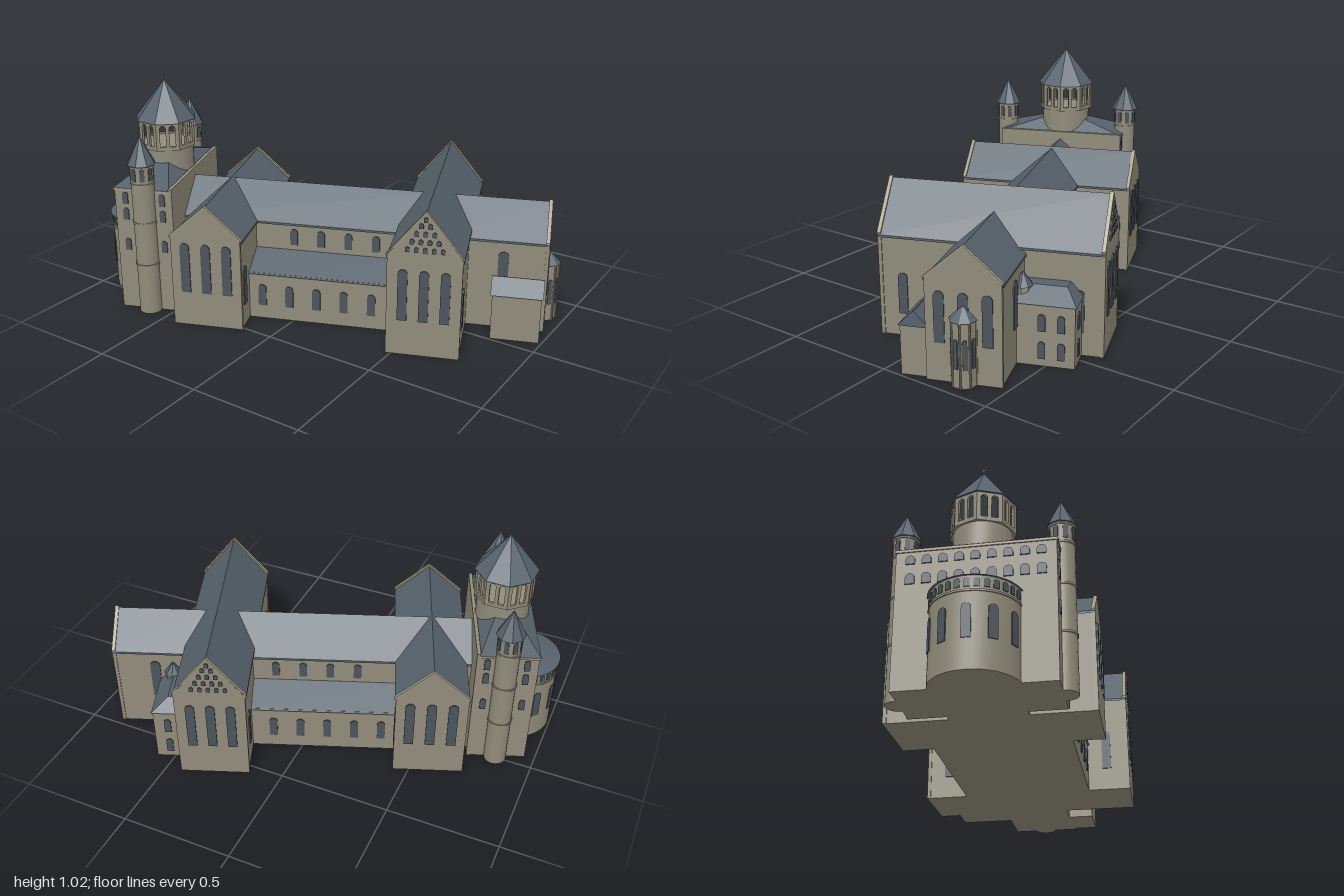
import * as THREE from 'three';
import { toCreasedNormals } from 'three/addons/utils/BufferGeometryUtils.js';

const mat = (name, color) => {
  const m = new THREE.MeshStandardMaterial({ color });
  m.name = name;
  return m;
};

export function createModel() {
  const stone = mat('stone', 0x918c7a);
  const slate = mat('slate', 0x56626c);
  const glass = mat('darkGlass', 0x4b545d);
  const trim = mat('paleCoping', 0xa0977f);

  // The church runs along local x (east = +x); the whole plan is turned on the ground.
  const root = new THREE.Group();
  root.name = 'church';
  root.rotation.y = THREE.MathUtils.degToRad(21);
  const church = new THREE.Group();
  church.position.z = 0.018;
  root.add(church);

  const add = (name, geo, material, x = 0, y = 0, z = 0, ry = 0, parent = church) => {
    const m = new THREE.Mesh(geo, material);
    m.name = name;
    m.position.set(x, y, z);
    m.rotation.y = ry;
    parent.add(m);
    return m;
  };

  // Box whose top rectangle may differ from its bottom: [x0, x1, z0, z1]
  const block = (name, material, y0, y1, bottom, top = bottom) => {
    const g = new THREE.BoxGeometry(1, 1, 1);
    const p = g.attributes.position;
    for (let i = 0; i < p.count; i++) {
      const up = p.getY(i) > 0, r = up ? top : bottom;
      p.setXYZ(i, p.getX(i) < 0 ? r[0] : r[1], up ? y1 : y0, p.getZ(i) < 0 ? r[2] : r[3]);
    }
    const flat = g.toNonIndexed();
    flat.computeVertexNormals();
    return add(name, flat, material);
  };

  const round = (name, material, rTop, rBottom, y0, y1, x, z, sides = 32) =>
    add(name, toCreasedNormals(new THREE.CylinderGeometry(rTop, rBottom, y1 - y0, sides), 0.5),
      material, x, (y0 + y1) / 2, z);

  const polygon = pts => new THREE.Shape(pts.map(([x, y]) => new THREE.Vector2(x, y)));
  const extrude = (shape, depth) => new THREE.ExtrudeGeometry(shape, { depth, bevelEnabled: false, curveSegments: 8 });

  // Round-headed opening outline
  const arch = (w, h, x = 0, y = 0, Type = THREE.Shape) => {
    const s = new Type(), r = w / 2;
    s.moveTo(x - r, y);
    s.lineTo(x + r, y);
    s.lineTo(x + r, y + h - r);
    s.absarc(x, y + h - r, r, 0, Math.PI, false);
    s.lineTo(x - r, y);
    return s;
  };
  const cache = {};
  const win = (x, y, z, w, h, ry = 0) =>
    add('window', cache[`${w},${h}`] ??= extrude(arch(w, h), 0.005), glass, x, y, z, ry);
  const SOUTH = 0, EAST = Math.PI / 2, NORTH = Math.PI, WEST = -Math.PI / 2;

  // Gabled wing running along z from z0 to z1, optionally turned to run along x
  const wing = (name, half, eave, ridge, z0, z1, x, gables, ry = 0) => {
    const g = new THREE.Group();
    g.name = name;
    g.position.x = x;
    g.rotation.y = ry;
    church.add(g);
    const t = 0.01, o = 0.008, drop = o * (ridge - eave) / half;
    const pent = (w, e, r) => polygon([[-w, 0], [w, 0], [w, e], [0, r], [-w, e]]);
    add('walls', extrude(pent(half, eave - t, ridge - t), z1 - z0), stone, 0, 0, z0, 0, g);
    add('gableRoof', extrude(polygon([
      [-half - o, eave - drop - t], [0, ridge - t], [half + o, eave - drop - t],
      [half + o, eave - drop], [0, ridge], [-half - o, eave - drop]]), z1 - z0), slate, 0, 0, z0, 0, g);
    // Raised gable walls with a pale coping strip
    gables.forEach((on, i) => {
      if (!on) return;
      const z = i ? z1 - 0.012 : z0 - 0.004;
      add('gableWall', extrude(pent(half + 0.004, eave, ridge + 0.002), 0.016), stone, 0, 0, z, 0, g);
      const w = half + 0.01;
      add('coping', extrude(polygon([[-w, eave - 0.006], [0, ridge], [w, eave - 0.006],
        [w, eave + 0.001], [0, ridge + 0.008], [-w, eave + 0.001]]), 0.016), trim, 0, 0, z, 0, g);
    });
  };

  // Nave, choir and the two transepts
  wing('nave', 0.155, 0.42, 0.55, -0.66, 0.48, 0, [false, false], EAST);
  wing('choir', 0.147, 0.42, 0.55, 0.48, 0.965, 0, [false, true], EAST);
  wing('westTransept', 0.152, 0.42, 0.557, -0.41, 0.41, -0.468, [true, true]);
  wing('eastTransept', 0.15, 0.45, 0.64, -0.468, 0.468, 0.48, [true, true]);

  for (const s of [1, -1]) {
    const face = s > 0 ? SOUTH : NORTH;
    const span = (a, b) => (s > 0 ? [a, b] : [-b, -a]);

    // Side aisles with lean-to roofs
    block('aisle', stone, 0, 0.22, [-0.4, 0.4, ...span(0.1, 0.285)]);
    block('aisleRoof', slate, 0.215, 0.285, [-0.4, 0.4, ...span(0.1, 0.293)], [-0.4, 0.4, ...span(0.1, 0.156)]);
    for (let i = 0; i < 5; i++) win(-0.256 + i * 0.122, 0.065, s * 0.285, 0.036, 0.1, face);
    for (let i = 0; i < 4; i++) win(-0.142 + i * 0.123, 0.31, s * 0.155, 0.034, 0.075, face);

    // Tall windows in the transept gables
    for (const d of [-1, 0, 1]) {
      win(-0.468 + d * 0.093, 0.16, s * 0.414, 0.042, 0.23, face);
      win(0.48 + d * 0.088, 0.16, s * 0.472, 0.04, 0.23, face);
    }
    // Small openings stepping up the east transept gable
    [[5, 0.47], [4, 0.505], [3, 0.54], [2, 0.575], [1, 0.602]].forEach(([n, y]) => {
      for (let i = 0; i < n; i++) win(0.48 + (i - (n - 1) / 2) * 0.036, y, s * 0.472, 0.018, 0.022, face);
    });
    // Side windows of the transepts and choir
    win(-0.316, 0.1, s * 0.352, 0.04, 0.18, EAST);
    win(0.63, 0.1, s * 0.37, 0.04, 0.18, EAST);
    win(0.33, 0.1, s * 0.37, 0.04, 0.18, WEST);
    win(0.78, 0.16, s * 0.147, 0.045, 0.2, face);

    // Round stair towers beside the west block
    const tx = -0.777, tz = s * 0.309;
    round('stairTower', stone, 0.05, 0.05, 0, 0.7, tx, tz, 24);
    for (const y of [0.23, 0.43, 0.61]) round('towerBand', stone, 0.054, 0.054, y, y + 0.008, tx, tz, 24);
    round('towerCornice', stone, 0.056, 0.052, 0.692, 0.702, tx, tz, 24);
    round('towerSpire', slate, 0, 0.064, 0.7, 0.825, tx, tz, 8);
    for (let i = 0; i < 8; i++) {
      const a = (i + 0.5) * Math.PI / 4;
      win(tx + 0.047 * Math.sin(a), 0.63, tz + 0.047 * Math.cos(a), 0.02, 0.058, a);
    }
    // Paired windows on the ends of the west block
    for (const x of [-0.865, -0.695]) for (const y of [0.285, 0.43, 0.505]) win(x, y, s * 0.305, 0.026, 0.055, face);
  }

  // West block with a low hipped roof
  block('westBlock', stone, 0, 0.575, [-0.913, -0.66, -0.305, 0.305]);
  block('westCornice', trim, 0.567, 0.578, [-0.918, -0.66, -0.31, 0.31]);
  block('westRoof', slate, 0.578, 0.67, [-0.918, -0.66, -0.31, 0.31], [-0.78, -0.77, -0.005, 0.005]);
  block('westParapet', stone, 0, 0.587, [-0.664, -0.648, -0.309, 0.309]);
  for (let i = 0; i < 9; i++) {
    const z = (i - 4) * 0.062;
    win(-0.913, 0.515, z, 0.036, 0.036, WEST);
    win(-0.913, 0.43, z, 0.036, 0.045, WEST);
  }

  // West apse with dwarf gallery
  const ax = -0.885;
  round('apse', stone, 0.172, 0.172, 0, 0.365, ax, 0, 48);
  round('apseBand', stone, 0.176, 0.176, 0.3, 0.308, ax, 0, 48);
  round('apseRoof', slate, 0, 0.181, 0.363, 0.42, ax, 0, 48);
  const apseWin = (deg, y, w, h) => {
    const a = WEST + THREE.MathUtils.degToRad(deg);
    win(ax + 0.17 * Math.sin(a), y, 0.17 * Math.cos(a), w, h, a);
  };
  for (let i = -6; i <= 6; i++) apseWin(i * 12, 0.318, 0.022, 0.036);
  for (let i = -2; i <= 2; i++) apseWin(i * 32, 0.12, 0.036, 0.135);

  // Crossing tower: round drum, open octagonal belfry, spire and cross
  const cx = -0.775;
  round('drum', stone, 0.117, 0.117, 0.57, 0.7, cx, 0, 40);
  round('belfryFloor', stone, 0.132, 0.132, 0.694, 0.704, cx, 0, 8);
  const wall = polygon([[-0.0505, 0], [0.0505, 0], [0.0505, 0.122], [-0.0505, 0.122]]);
  for (const x of [-0.021, 0.021]) wall.holes.push(arch(0.026, 0.098, x, 0.012, THREE.Path));
  const panel = extrude(wall, 0.012);
  for (let i = 0; i < 8; i++) {
    const a = (i + 0.5) * Math.PI / 4;
    add('belfryWall', panel, stone, cx + 0.11 * Math.sin(a), 0.7, 0.11 * Math.cos(a), a);
  }
  round('belfrySpire', slate, 0, 0.14, 0.82, 0.995, cx, 0, 8);
  block('crossPost', trim, 0.985, 1.018, [cx - 0.0015, cx + 0.0015, -0.0015, 0.0015]);
  block('crossBar', trim, 1.006, 1.009, [cx - 0.0015, cx + 0.0015, -0.007, 0.007]);

  // East end of the choir: three windows and a small polygonal apse with shafts
  for (const d of [-1, 0, 1]) win(0.968, 0.16, d * 0.095, 0.042, 0.21, EAST);
  round('eastApse', stone, 0.05, 0.05, 0, 0.27, 0.967, 0, 8);
  round('eastApseRoof', slate, 0, 0.057, 0.268, 0.325, 0.967, 0, 8);
  for (let i = 0; i < 4; i++) {
    const a = i * Math.PI / 4 + Math.PI / 8;
    win(0.967 + 0.046 * Math.sin(a), 0.08, 0.046 * Math.cos(a), 0.018, 0.12, a);
  }
  for (let i = 0; i < 5; i++) {
    const a = i * Math.PI / 4;
    round('shaft', stone, 0.005, 0.005, 0, 0.27, 0.967 + 0.05 * Math.sin(a), 0.05 * Math.cos(a), 8);
  }

  // South annex with a small gabled roof
  block('southAnnex', stone, 0, 0.21, [0.745, 0.952, 0.14, 0.26]);
  block('southAnnexRoof', slate, 0.207, 0.27, [0.738, 0.959, 0.138, 0.267], [0.738, 0.959, 0.199, 0.203]);

  // North annex with a hipped lean-to roof, and a stair turret in the corner
  block('northAnnex', stone, 0, 0.26, [0.6, 0.757, -0.38, -0.13]);
  block('northAnnexRoof', slate, 0.258, 0.315, [0.6, 0.763, -0.387, -0.13], [0.6, 0.69, -0.335, -0.13]);
  for (const z of [-0.325, -0.247]) for (const y of [0.032, 0.148]) win(0.757, y, z, 0.03, 0.072, EAST);
  for (const y of [0.032, 0.148]) win(0.695, y, -0.38, 0.03, 0.072, NORTH);
  round('cornerTurret', stone, 0.036, 0.036, 0, 0.31, 0.696, -0.158, 8);
  round('cornerTurretRoof', slate, 0, 0.042, 0.31, 0.37, 0.696, -0.158, 8);

  const model = new THREE.Group();
  model.name = 'churchModel';
  model.add(root);
  return model;
}
